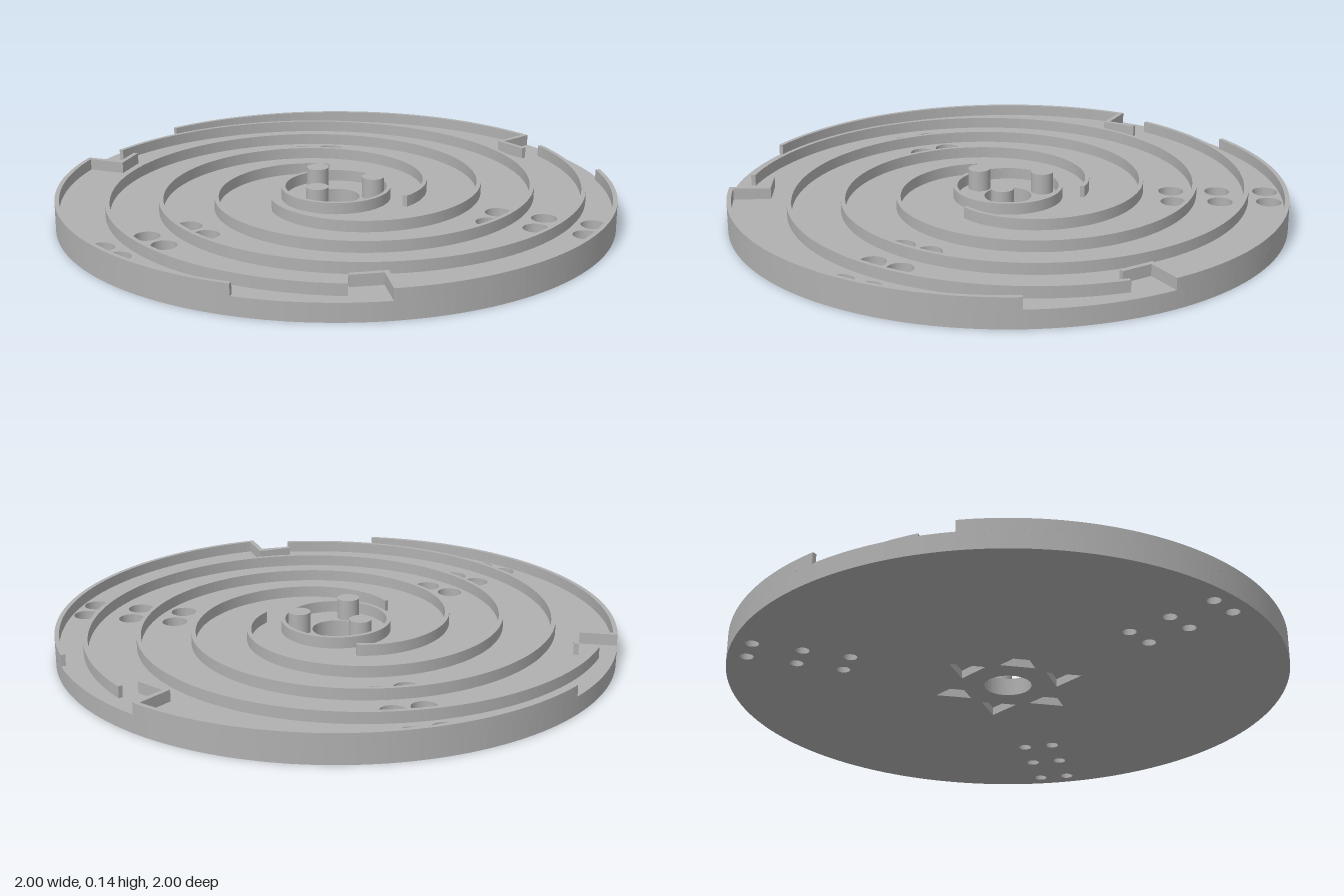
import * as THREE from 'three';

const FLOOR = 0.065, WALL_TOP = 0.106, BORE_FLOOR = 0.03;
const rad = THREE.MathUtils.degToRad;
const polar = (r, a) => new THREE.Vector2(r * Math.cos(a), r * Math.sin(a));

// Plan-view shape (x right, y towards the back) raised from y0 to y1
function slab(shape, y0, y1) {
  const g = new THREE.ExtrudeGeometry(shape, { depth: y1 - y0, bevelEnabled: false, curveSegments: 96 });
  g.rotateX(-Math.PI / 2);
  g.translate(0, y0, 0);
  return g;
}

function circlePath(x, y, r, n = 32) {
  const pts = [];
  for (let i = 0; i < n; i++) pts.push(polar(r, (-i / n) * Math.PI * 2).add(new THREE.Vector2(x, y)));
  return new THREE.Path(pts);
}

// Curved wall that follows radius(t) between two angles in degrees
function wallShape(a0, a1, radius, thickness, steps) {
  const outer = [], inner = [];
  for (let i = 0; i <= steps; i++) {
    const t = i / steps, a = rad(a0 + (a1 - a0) * t), r = radius(t);
    outer.push(polar(r + thickness / 2, a));
    inner.unshift(polar(r - thickness / 2, a));
  }
  return new THREE.Shape([...outer, ...inner]);
}

export function createModel() {
  const model = new THREE.Group();
  model.name = 'spiralDisc';
  const grey = new THREE.MeshStandardMaterial({ color: 0xb0b0b0 });
  grey.name = 'grey';
  const add = (name, geometry, parent = model) => {
    const mesh = new THREE.Mesh(geometry, grey);
    mesh.name = name;
    parent.add(mesh);
    return mesh;
  };

  // Screw holes: three groups of three pairs
  const holes = [];
  for (let k = 0; k < 3; k++)
    for (const r of [0.591, 0.758, 0.932])
      for (const s of [-0.054, 0.054])
        holes.push(new THREE.Vector2(r, s).rotateAround(new THREE.Vector2(), rad(14.4 + 120 * k)));

  // Round plate with a centre hole and screw holes of the given radius
  const plate = (holeRadius) => {
    const s = new THREE.Shape();
    s.absarc(0, 0, 1, 0, Math.PI * 2, false);
    s.holes.push(circlePath(0, 0, 0.085, 64));
    for (const h of holes) s.holes.push(circlePath(h.x, h.y, holeRadius));
    return s;
  };

  // Lower plate: narrow holes and triangular pockets underneath
  const lower = plate(0.024);
  for (let k = 0; k < 6; k++) {
    const a = rad(38 + 60 * k), c = polar(0.2, a);
    lower.holes.push(new THREE.Path([0, -120, -240].map((d) => polar(0.074, a + rad(d)).add(c))));
  }
  add('lowerPlate', slab(lower, 0, BORE_FLOOR));

  // Upper plate: wide counterbores
  add('upperPlate', slab(plate(0.045), BORE_FLOOR, FLOOR));

  // Ring around the hub
  const ring = new THREE.Shape();
  ring.absarc(0, 0, 0.197, 0, Math.PI * 2, false);
  ring.holes.push(circlePath(0, 0, 0.182, 96));
  add('hubRing', slab(ring, FLOOR, WALL_TOP));

  // Three identical sectors: spiral, rim, hook and pin
  const spiral = slab(wallShape(12, 429,
    (t) => 0.268 + 0.672 * t + 0.012 * Math.sin(Math.PI * t), 0.016, 220), FLOOR, WALL_TOP);
  const rim = slab(wallShape(77.4, 168, () => 0.992, 0.016, 64), FLOOR, WALL_TOP);
  const hook = slab(new THREE.Shape([
    [0.85, -0.12], [0.868, -0.12], [0.868, -0.009], [0.9995, -0.009], [0.9995, 0.009], [0.85, 0.009],
  ].map(([x, y]) => new THREE.Vector2(x, y))), FLOOR, WALL_TOP);
  const pin = new THREE.CylinderGeometry(0.04, 0.04, 0.14 - FLOOR, 48);
  pin.translate(0.133, (0.14 + FLOOR) / 2, 0);

  for (let k = 0; k < 3; k++) {
    const sector = new THREE.Group();
    sector.name = 'sector' + (k + 1);
    sector.rotation.y = rad(120 * k);
    add('spiralWall', spiral, sector);
    add('rimWall', rim, sector);
    add('rimHook', hook, sector).rotation.y = rad(77.4);
    add('hubPin', pin, sector).rotation.y = rad(37);
    model.add(sector);
  }
  return model;
}
